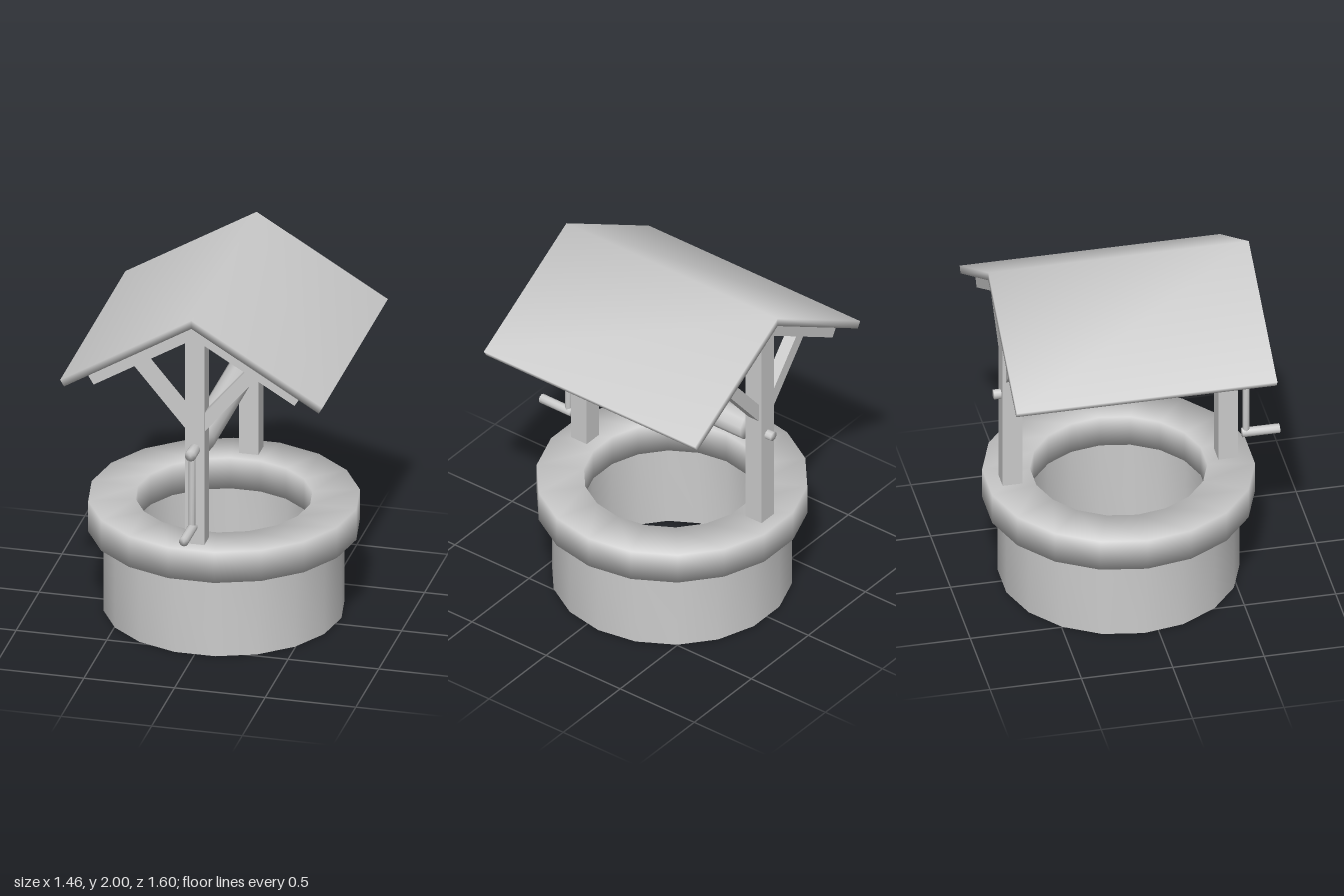
import * as THREE from 'three';
import { mergeVertices } from 'three/addons/utils/BufferGeometryUtils.js';

const grey = new THREE.MeshStandardMaterial({ color: 0xcccccc });
const greyOpen = new THREE.MeshStandardMaterial({ color: 0xcccccc, side: THREE.DoubleSide });
const CZ = -0.08;          // centre of the well along z
const SIDES = 18;          // sides of the round stonework
const AXLE_Y = 1.21;
const SLOPE = Math.atan(0.597);

// Weld the corners so shading runs softly over every edge
function soften(geometry) {
  geometry.deleteAttribute('normal');
  geometry.deleteAttribute('uv');
  const welded = mergeVertices(geometry, 1e-4);
  welded.computeVertexNormals();
  return welded;
}

function add(parent, name, geometry, x = 0, y = 0, z = 0, material = grey) {
  const mesh = new THREE.Mesh(geometry, material);
  mesh.name = name;
  mesh.position.set(x, y, z);
  parent.add(mesh);
  return mesh;
}

// Ring turned from [radius, height] points, with a corner on the x axis
function turned(points) {
  const profile = points.map(([r, y]) => new THREE.Vector2(r, y));
  return soften(new THREE.LatheGeometry(profile, SIDES, Math.PI / 2));
}

// Rod lying along z between two depths
function rodZ(parent, name, radius, zFrom, zTo, y, sides) {
  const g = new THREE.CylinderGeometry(radius, radius, zTo - zFrom, sides);
  g.rotateX(Math.PI / 2);
  return add(parent, name, soften(g), 0, y, (zFrom + zTo) / 2);
}

// Square beam in the x-y plane between two points
function beam(parent, name, [x0, y0], [x1, y1], thick, depth) {
  const g = new THREE.BoxGeometry(Math.hypot(x1 - x0, y1 - y0), thick, depth);
  const mesh = add(parent, name, g, (x0 + x1) / 2, (y0 + y1) / 2, 0);
  mesh.rotation.z = Math.atan2(y1 - y0, x1 - x0);
  return mesh;
}

// Sloped slab outline: peak height, length along the slope direction, thickness
function gableShape(peak, halfWidth, thick) {
  const drop = halfWidth * Math.tan(SLOPE);
  const inX = thick * Math.sin(SLOPE), inY = thick * Math.cos(SLOPE);
  const s = new THREE.Shape();
  s.moveTo(0, peak);
  s.lineTo(-halfWidth, peak - drop);
  s.lineTo(-halfWidth + inX, peak - drop - inY);
  s.lineTo(0, peak - thick / Math.cos(SLOPE));
  s.lineTo(halfWidth - inX, peak - drop - inY);
  s.lineTo(halfWidth, peak - drop);
  s.closePath();
  return s;
}

function gable(peak, halfWidth, thick, depth) {
  const g = new THREE.ExtrudeGeometry(gableShape(peak, halfWidth, thick), { depth, bevelEnabled: false });
  g.translate(0, 0, -depth / 2);
  return g;
}

export function createModel() {
  const well = new THREE.Group();
  well.name = 'well';

  // Stonework: hollow wall open at the bottom, and a heavy rim
  add(well, 'outerWall', turned([[0.648, 0], [0.648, 0.5]]), 0, 0, CZ, greyOpen);
  add(well, 'innerWall', turned([[0.482, 0.5], [0.482, 0]]), 0, 0, CZ, greyOpen);
  add(well, 'rim', turned([[0.475, 0.47], [0.73, 0.47], [0.73, 0.65], [0.475, 0.65], [0.475, 0.47]]), 0, 0, CZ);

  // Front and back frames: post, rafters and a pair of braces
  for (const [name, z] of [['frontFrame', 0.508], ['backFrame', -0.672]]) {
    const frame = new THREE.Group();
    frame.name = name;
    frame.position.z = z;
    add(frame, 'post', new THREE.BoxGeometry(0.107, 1.24, 0.107), 0, 1.25, 0);
    add(frame, 'rafters', gable(1.952, 0.593, 0.076, 0.13));
    for (const side of [-1, 1]) {
      beam(frame, 'brace', [0, 1.306], [side * 0.335, 1.705], 0.07, 0.07);
    }
    well.add(frame);
  }

  // Roof
  add(well, 'roof', soften(gable(2, 0.724, 0.042, 1.425)), 0, 0, CZ);

  // Windlass
  const windlass = new THREE.Group();
  windlass.name = 'windlass';
  rodZ(windlass, 'roller', 0.08, -0.6, 0.435, AXLE_Y, 10);
  rodZ(windlass, 'axle', 0.027, -0.765, 0.6, AXLE_Y, 10);
  rodZ(windlass, 'crankHub', 0.031, 0.55, 0.655, AXLE_Y, 10);
  add(windlass, 'crankArm', soften(new THREE.CylinderGeometry(0.019, 0.019, 0.44, 8)), 0, 0.99, 0.618);
  rodZ(windlass, 'crankHandle', 0.026, 0.595, 0.8, 0.77, 10);
  well.add(windlass);

  return well;
}
